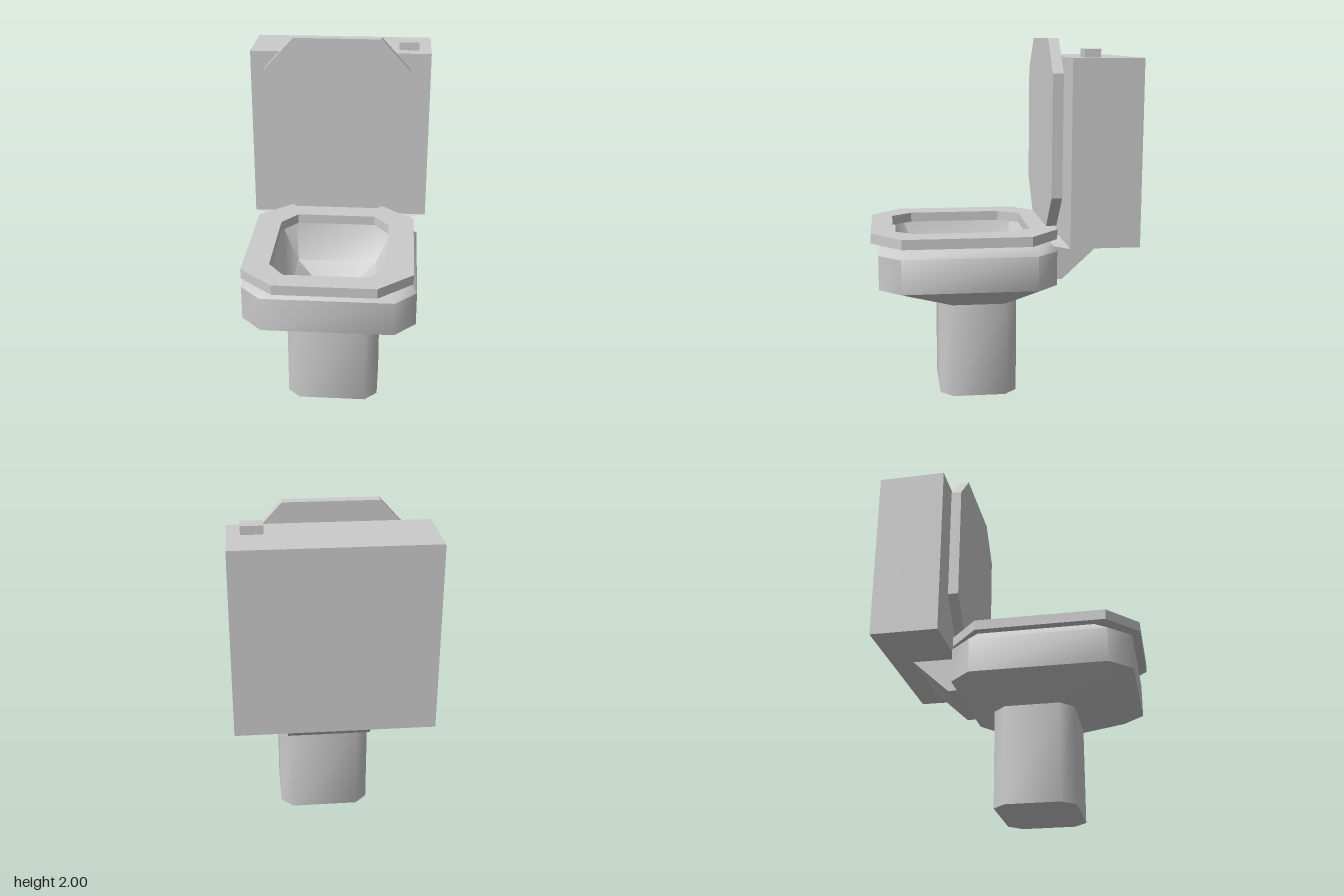
import * as THREE from 'three';
import { toCreasedNormals } from 'three/addons/utils/BufferGeometryUtils.js';

const material = new THREE.MeshStandardMaterial({ color: 0xcccccc });

// Outlines as [u, v] pairs, counter-clockwise
const rect = (u0, u1, v0, v1) => [[u0, v0], [u1, v0], [u1, v1], [u0, v1]];
const octagon = (u0, u1, v0, v1, cu, cv) => [
  [u0 + cu, v0], [u1 - cu, v0], [u1, v0 + cv], [u1, v1 - cv],
  [u1 - cu, v1], [u0 + cu, v1], [u0, v1 - cv], [u0, v0 + cv],
];

// A horizontal ring at height y; z0 is the front edge and z1 the back edge
const flat = (y, points) => points.map(([u, v]) => [u, y, -v]);
const rectRing = (y, half, front, back) => flat(y, rect(-half, half, -front, -back));
const octRing = (y, half, front, back, cx, cz = cx) =>
  flat(y, octagon(-half, half, -front, -back, cx, cz));

// Joins matching rings, optionally closing the first and last one
function loft(rings, capStart, capEnd) {
  const n = rings[0].length;
  const positions = [];
  const tri = (a, b, c) => positions.push(...a, ...b, ...c);
  for (let r = 0; r < rings.length - 1; r++) {
    const a = rings[r], b = rings[r + 1];
    for (let i = 0; i < n; i++) {
      const j = (i + 1) % n;
      tri(a[i], a[j], b[j]);
      tri(a[i], b[j], b[i]);
    }
  }
  const first = rings[0], last = rings[rings.length - 1];
  for (let i = 1; i < n - 1; i++) {
    if (capStart) tri(first[0], first[i + 1], first[i]);
    if (capEnd) tri(last[0], last[i], last[i + 1]);
  }
  const geometry = new THREE.BufferGeometry();
  geometry.setAttribute('position', new THREE.Float32BufferAttribute(positions, 3));
  return toCreasedNormals(geometry, 0.85);
}

function plate(outline, depth, hole) {
  const toPoints = (list) => list.map(([u, v]) => new THREE.Vector2(u, v));
  const shape = new THREE.Shape(toPoints(outline));
  if (hole) shape.holes.push(new THREE.Path(toPoints(hole)));
  return new THREE.ExtrudeGeometry(shape, { depth, bevelEnabled: false });
}

export function createModel() {
  const model = new THREE.Group();
  model.name = 'toilet';
  const add = (name, geometry, x = 0, y = 0, z = 0) => {
    const mesh = new THREE.Mesh(geometry, material);
    mesh.name = name;
    mesh.position.set(x, y, z);
    model.add(mesh);
  };

  // Pedestal with softened corners
  add('pedestal', loft([
    octRing(0, 0.262, 0.34, -0.095, 0.07),
    octRing(0.535, 0.262, 0.34, -0.095, 0.07),
  ], true, false));

  // Bowl: flared underside, side wall, bevelled rim, then the basin down to the drain
  add('bowl', loft([
    octRing(0.535, 0.262, 0.34, -0.095, 0.07),
    octRing(0.66, 0.47, 0.675, -0.3, 0.115, 0.12),
    octRing(0.85, 0.47, 0.675, -0.3, 0.115, 0.12),
    octRing(0.9, 0.42, 0.605, -0.265, 0.115, 0.12),
    octRing(0.9, 0.33, 0.578, -0.175, 0.08, 0.05),
    octRing(0.69, 0.235, 0.43, -0.09, 0.004),
    octRing(0.63, 0.122, 0.305, 0.04, 0.004),
    octRing(0.54, 0.093, 0.27, 0.07, 0.004),
  ], false, true));

  // Seat ring
  const seat = plate(
    octagon(-0.47, 0.45, -0.715, 0.315, 0.185, 0.165), 0.055,
    octagon(-0.325, 0.305, -0.595, 0.165, 0.088, 0.115),
  );
  seat.rotateX(-Math.PI / 2);
  add('seat', seat, 0, 0.9, 0);

  // Raised lid
  add('lid', plate(octagon(-0.43, 0.405, 0.97, 2, 0.168, 0.183), 0.058), 0, 0, -0.314);

  // Neck from the bowl to the tapered tank base
  add('neck', loft([
    rectRing(0.66, 0.23, -0.29, -0.35),
    rectRing(0.85, 0.23, -0.29, -0.555),
  ], true, true));
  add('tankBase', loft([
    rectRing(0.85, 0.23, -0.305, -0.555),
    rectRing(0.9, 0.52, -0.34, -0.718),
  ], true, false));

  // Tank and flush button
  add('tank', new THREE.BoxGeometry(1.04, 1, 0.378), 0, 1.4, -0.529);
  add('flushButton', new THREE.BoxGeometry(0.115, 0.045, 0.085), 0.393, 1.9225, -0.458);

  return model;
}
